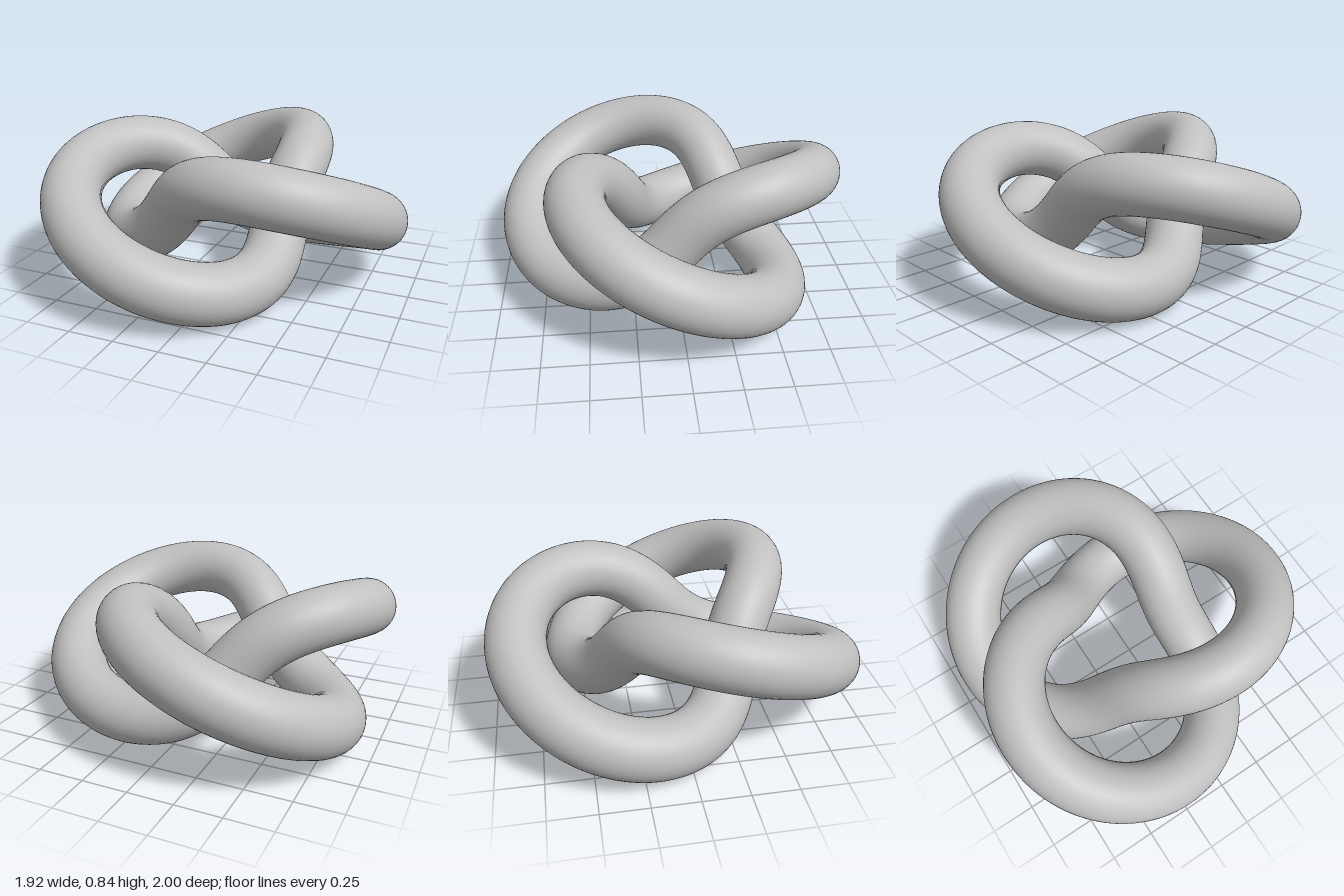
import * as THREE from 'three';

const RING = 0.625;   // mean distance of the path from the knot's axis
const SWING = 0.262;  // how far the path winds around that ring
const TUBE = 0.16;    // thickness radius of the strand
const SHIFT = 0.0875; // centres the three lobes on x = 0

// Closed trefoil path: twice around the axis, three times around the ring
class TrefoilCurve extends THREE.Curve {
  getPoint(t, target = new THREE.Vector3()) {
    const u = t * Math.PI * 4;
    const r = RING + SWING * Math.cos(1.5 * u);
    return target.set(
      r * Math.cos(u) - SHIFT,
      TUBE + SWING * (1 + Math.sin(1.5 * u)),
      r * Math.sin(u)
    );
  }
}

export function createModel() {
  const group = new THREE.Group();
  group.name = 'trefoilKnot';

  const grey = new THREE.MeshStandardMaterial({ color: 0xc0c0c0 });
  grey.name = 'grey';

  // One smooth continuous strand
  const path = new TrefoilCurve();
  path.arcLengthDivisions = 1000;
  const strand = new THREE.Mesh(new THREE.TubeGeometry(path, 320, TUBE, 40, true), grey);
  strand.name = 'knotStrand';
  group.add(strand);

  return group;
}
